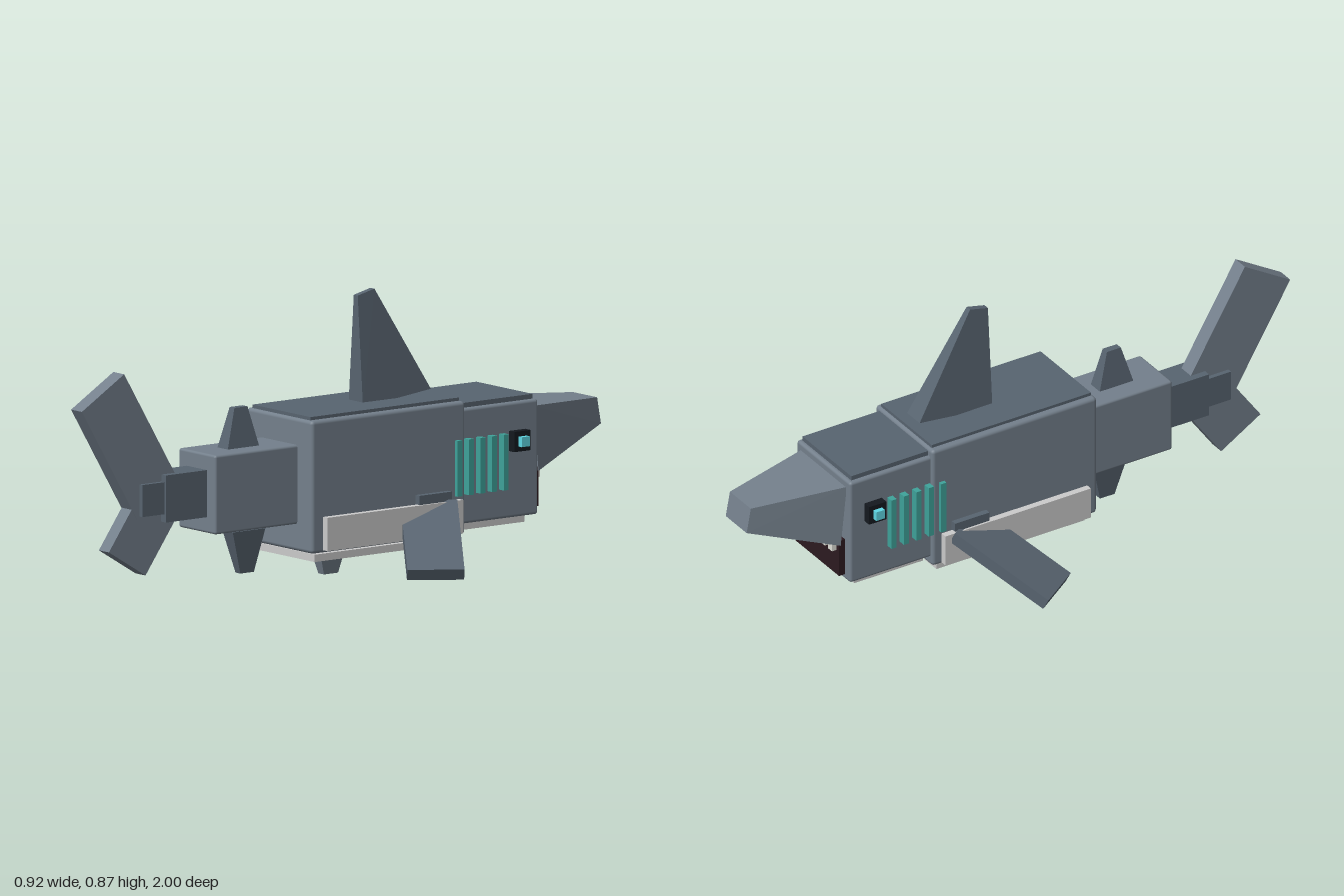
import * as THREE from 'three';
import { RoundedBoxGeometry } from 'three/addons/geometries/RoundedBoxGeometry.js';
import { ConvexGeometry } from 'three/addons/geometries/ConvexGeometry.js';

const paint = (color) => new THREE.MeshStandardMaterial({ color });

export function createModel() {
  const root = new THREE.Group();
  root.name = 'shark';
  const skin = paint(0x74808c), dark = paint(0x586470), pale = paint(0xd0d4d4);
  const teal = paint(0x3fa39b), cyan = paint(0x5fd8e5), black = paint(0x14191f);
  const maw = paint(0x2c1a20), ivory = paint(0xe2e2da);

  const add = (name, geometry, material) => {
    const mesh = new THREE.Mesh(geometry, material);
    mesh.name = name;
    root.add(mesh);
    return mesh;
  };

  // Box given by its extents; a radius rounds the edges
  const box = (name, material, [x0, x1], [y0, y1], [z0, z1], radius = 0) => {
    const size = [x1 - x0, y1 - y0, z1 - z0];
    const geometry = radius
      ? new RoundedBoxGeometry(...size, 2, radius)
      : new THREE.BoxGeometry(...size);
    geometry.translate((x0 + x1) / 2, (y0 + y1) / 2, (z0 + z1) / 2);
    return add(name, geometry, material);
  };

  // Tapered block between two side-profile edges, each [z, y, z, y] with its own half width
  const taper = (name, material, a, wa, b, wb) => {
    const points = [];
    for (const [e, w] of [[a, wa], [b, wb]])
      for (const s of [-1, 1])
        points.push(new THREE.Vector3(s * w, e[1], e[0]), new THREE.Vector3(s * w, e[3], e[2]));
    return add(name, new ConvexGeometry(points), material);
  };

  // Trunk, head and tail stock
  box('body', skin, [-0.165, 0.165], [0.1, 0.515], [-0.39, 0.21], 0.012);
  box('backPlate', dark, [-0.145, 0.145], [0.505, 0.525], [-0.38, 0.2]);
  box('head', skin, [-0.154, 0.154], [0.13, 0.49], [-0.683, -0.37], 0.01);
  box('headPlate', dark, [-0.14, 0.14], [0.48, 0.505], [-0.67, -0.38]);
  box('tailStock', skin, [-0.092, 0.092], [0.185, 0.432], [0.19, 0.53], 0.008);
  box('tailJoint', dark, [-0.05, 0.05], [0.235, 0.382], [0.52, 0.69]);
  box('tailEnd', dark, [-0.042, 0.042], [0.26, 0.36], [0.66, 0.775]);

  // Pale underside
  box('bellyPlate', pale, [-0.14, 0.14], [0.07, 0.093], [-0.36, 0.18]);
  box('throatPlate', pale, [-0.125, 0.125], [0.106, 0.127], [-0.65, -0.4]);

  // Snout, mouth and teeth
  taper('snout', skin, [-0.68, 0.465, -0.702, 0.26], 0.13, [-0.985, 0.45, -1, 0.367], 0.06);
  box('mouth', maw, [-0.125, 0.125], [0.15, 0.275], [-0.705, -0.68]);
  for (let i = 0; i < 6; i++) {
    const x = (i - 2.5) * 0.04;
    box('tooth', ivory, [x - 0.011, x + 0.011], [0.237, 0.275], [-0.722, -0.704]);
  }

  // Fins on the centre line
  taper('dorsalFin', dark, [-0.355, 0.54, -0.09, 0.51], 0.036, [-0.155, 0.87, -0.09, 0.855], 0.01);
  taper('rearDorsalFin', dark, [0.43, 0.43, 0.307, 0.43], 0.026, [0.393, 0.556, 0.342, 0.556], 0.012);
  taper('analFin', dark, [0.41, 0.171, 0.283, 0.171], 0.026, [0.37, 0.037, 0.317, 0.037], 0.012);
  taper('pelvicFin', skin, [0.068, 0.075, -0.03, 0.075], 0.024, [0.045, 0, -0.01, 0], 0.014);

  // Forked tail fin
  taper('upperTailLobe', skin, [1, 0.61, 0.835, 0.71], 0.027, [0.785, 0.252, 0.62, 0.352], 0.027);
  taper('lowerTailLobe', skin, [0.893, 0.16, 0.75, 0.073], 0.025, [0.735, 0.38, 0.592, 0.293], 0.025);

  // Paired parts
  for (const s of [1, -1]) {
    const side = s > 0 ? 'left' : 'right';
    const sideBox = (name, material, [x0, x1], y, z) =>
      box(side + name, material, s > 0 ? [x0, x1] : [-x1, -x0], y, z);

    sideBox('FlankPanel', pale, [0.17, 0.192], [0.11, 0.214], [-0.36, 0.17]);
    sideBox('FinMount', dark, [0.155, 0.185], [0.17, 0.243], [-0.32, -0.195]);
    sideBox('EyeSocket', black, [0.15, 0.181], [0.339, 0.402], [-0.631, -0.568]);
    sideBox('Eye', cyan, [0.17, 0.197], [0.355, 0.386], [-0.615, -0.584]);
    for (let i = 0; i < 5; i++) {
      const z = -0.357 - i * 0.0453;
      sideBox('Gill', teal, [0.15, 0.178], [0.223, 0.397], [z - 0.0095, z + 0.0095]);
    }

    // Pectoral fin: a slab spanned by its length, chord and thickness
    const points = [];
    for (const l of [0, 1]) for (const c of [0, 1]) for (const t of [0, 1])
      points.push(new THREE.Vector3(
        s * (0.2 + 0.26 * l - 0.1 * c - 0.015 * t),
        0.22 - 0.165 * l - 0.035 * t,
        -0.33 + 0.175 * l + 0.145 * c - 0.01 * t));
    add(side + 'PectoralFin', new ConvexGeometry(points), dark);
  }
  return root;
}
